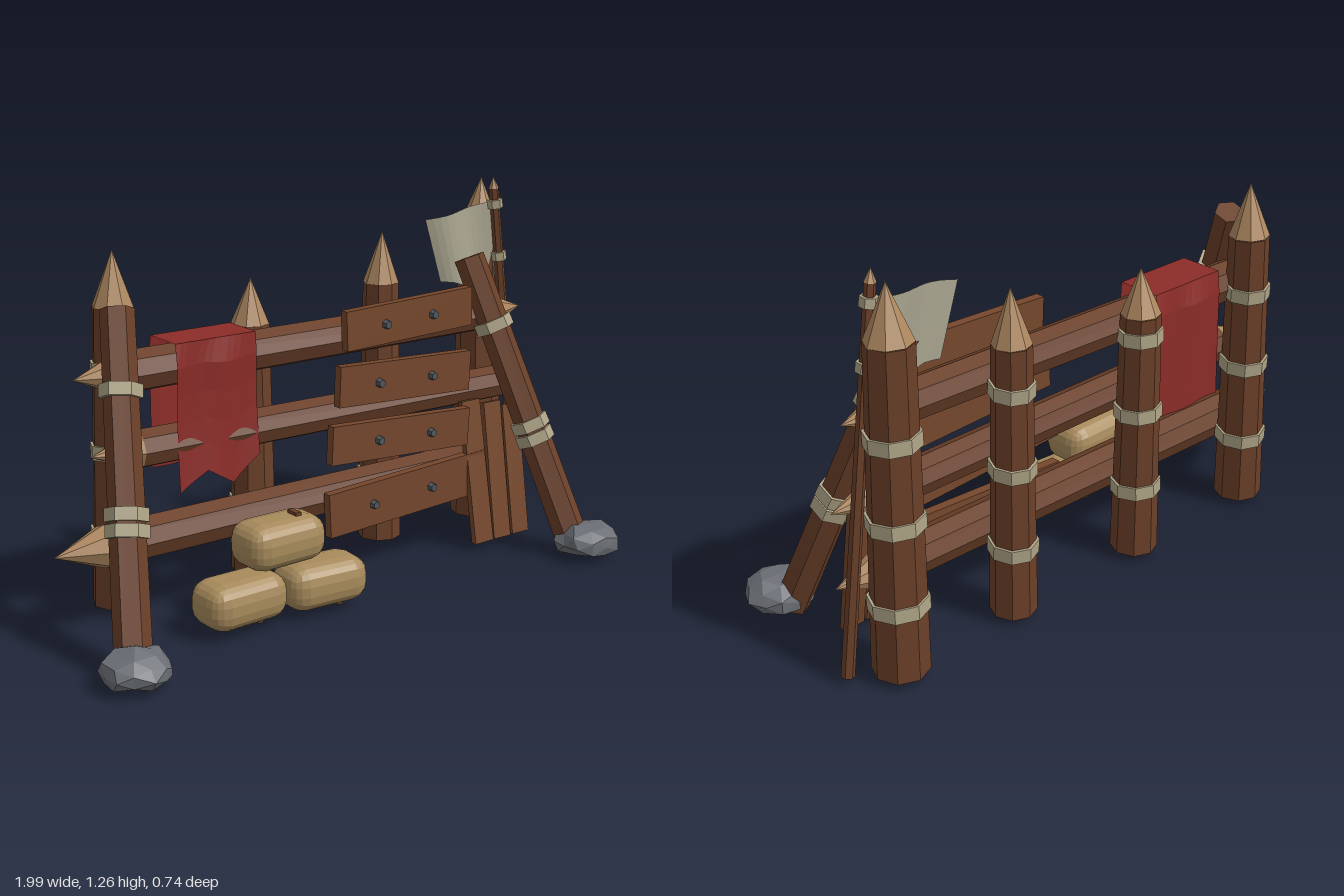
import * as THREE from 'three';
import { RoundedBoxGeometry } from 'three/addons/geometries/RoundedBoxGeometry.js';

const mat = (color, side = THREE.FrontSide) => new THREE.MeshStandardMaterial({ color, flatShading: true, side });
const WOOD = mat(0x6b4029), PLANK = mat(0x75472c), TIP = mat(0xae8860), ROPE = mat(0xb0a588);
const STONE = mat(0x6b6f75), IRON = mat(0x50565c), SACK = mat(0xa88b5c);
const RED = mat(0x8c2c28, THREE.DoubleSide), CANVAS = mat(0xaaa590, THREE.DoubleSide);
const V = (x, y, z) => new THREE.Vector3(x, y, z);
const UP = V(0, 1, 0);

function add(parent, name, geometry, material) {
  const mesh = new THREE.Mesh(geometry, material);
  mesh.name = name;
  parent.add(mesh);
  return mesh;
}

// Tapered pole from a to b
function beam(parent, name, a, b, ra, rb, sides, material) {
  const dir = b.clone().sub(a);
  const mesh = add(parent, name, new THREE.CylinderGeometry(rb, ra, dir.length(), sides), material);
  mesh.position.copy(a).add(b).multiplyScalar(0.5);
  mesh.quaternion.setFromUnitVectors(UP, dir.normalize());
  return mesh;
}

// Rope wrap at fraction t of the pole from a to b
function wrap(parent, a, b, t, r, height, sides) {
  const mid = a.clone().lerp(b, t);
  const half = b.clone().sub(a).setLength(height / 2);
  return beam(parent, 'ropeWrap', mid.clone().sub(half), mid.clone().add(half), r, r, sides, ROPE);
}

// Sheet through v-rows: at(u, v) returns the position
function sheet(parent, name, nu, nv, at, material) {
  const geometry = new THREE.PlaneGeometry(1, 1, nu, nv);
  const p = geometry.attributes.position;
  for (let i = 0; i < p.count; i++) {
    const q = at(p.getX(i) + 0.5, 0.5 - p.getY(i));
    p.setXYZ(i, q.x, q.y, q.z);
  }
  geometry.computeVertexNormals();
  return add(parent, name, geometry, material);
}

// Piecewise linear lookup over evenly spaced values
function lookup(values, u) {
  const f = u * (values.length - 1), i = Math.min(Math.floor(f), values.length - 2);
  return values[i] + (values[i + 1] - values[i]) * (f - i);
}

// Upright stakes with sharpened tops and rope wraps
function addPosts(root) {
  const posts = [ // foot x, top x, shoulder y, tip y, radius
    [-0.645, -0.62, 0.98, 1.155, 0.08],
    [-0.13, -0.125, 0.86, 1.01, 0.077],
    [0.398, 0.405, 0.93, 1.105, 0.074],
    [0.84, 0.84, 1.08, 1.25, 0.088]];
  posts.forEach(([x0, x1, shoulder, tip, r], i) => {
    const g = new THREE.Group();
    g.name = 'post';
    const a = V(x0, 0.03, -0.275), b = V(x1, shoulder, -0.285);
    beam(g, 'postShaft', a, b, r, r * 0.82, 8, WOOD);
    beam(g, 'postTip', b, V(x1, tip, -0.28), r * 0.82, 0, 8, TIP);
    for (const y of [0.26, 0.53, 0.79]) {
      const t = (y - 0.03) / (shoulder - 0.03);
      wrap(g, a, b, t, r * (1 - 0.18 * t) + 0.008, 0.045, 8).rotateX(0.05 * (i % 2 ? 1 : -1));
    }
    root.add(g);
  });
}

// Horizontal rails sharpened at both ends
function addRails(root) {
  const rails = [ // left tip, right tip, radius
    [V(-0.81, 0.795, -0.2), V(0.92, 0.805, -0.155), 0.068],
    [V(-0.78, 0.56, -0.165), V(0.97, 0.545, -0.155), 0.062],
    [V(-0.92, 0.275, -0.155), V(0.96, 0.285, -0.14), 0.07]];
  for (const [a, b, r] of rails) {
    const g = new THREE.Group();
    g.name = 'rail';
    const p = a.clone().lerp(b, 0.09), q = a.clone().lerp(b, 0.91);
    beam(g, 'railShaft', p, q, r, r * 0.94, 8, WOOD);
    beam(g, 'railTip', p, a, r, 0, 8, TIP);
    beam(g, 'railTip', q, b, r * 0.94, 0, 8, TIP);
    root.add(g);
  }
}

// Slanted braces with a boulder on each foot
function addBraces(root) {
  for (const s of [-1, 1]) {
    const g = new THREE.Group();
    g.name = 'brace';
    const a = V(s * 0.87, 0.025, 0.22), b = V(s * 0.68, 1.005, -0.15);
    beam(g, 'braceShaft', a, b, 0.057, 0.052, 6, WOOD);
    for (const t of [0.385, 0.43, 0.77]) wrap(g, a, b, t, 0.066, 0.04, 6).rotateZ(0.06 * s);
    const rock = new THREE.IcosahedronGeometry(1, 1), p = rock.attributes.position;
    for (let i = 0; i < p.count; i++) {
      const x = p.getX(i), y = p.getY(i), z = p.getZ(i);
      const k = 0.95 + 0.13 * Math.sin(5 * x + s * 2) * Math.cos(4 * z + 3 * y);
      p.setXYZ(i, x * k * 0.115, Math.max(y * k * 0.068, -0.03), z * k * 0.112);
    }
    rock.computeVertexNormals();
    add(g, 'footStone', rock, STONE).position.set(s * 0.885, 0.06, 0.258);
    root.add(g);
  }
}

// Bolted boards on the front
function addBoards(root) {
  const boards = [ // x, y, width, height, tilt, bolt x positions
    [0.345, 0.855, 0.52, 0.13, 0.035, 0.24, 0.435],
    [0.33, 0.655, 0.545, 0.135, -0.045, 0.215, 0.435],
    [0.315, 0.46, 0.575, 0.13, -0.055, 0.215, 0.435],
    [0.35, 0.255, 0.665, 0.15, 0.05, 0.195, 0.44]];
  for (const [x, y, w, h, tilt, ...bolts] of boards) {
    const g = new THREE.Group();
    g.name = 'board';
    g.position.set(x, y, -0.06);
    g.rotation.z = tilt;
    add(g, 'boardPlank', new THREE.BoxGeometry(w, h, 0.032), PLANK);
    for (const bx of bolts) beam(g, 'bolt', V(bx - x, 0, 0.01), V(bx - x, 0, 0.034), 0.018, 0.013, 6, IRON);
    root.add(g);
  }
  // Loose planks leaning on the rails
  [[0.64, 0.08, 0.01], [0.73, 0.075, -0.015], [0.815, 0.075, -0.01]].forEach(([x, w, roll], i) => {
    const m = add(root, 'leaningPlank', new THREE.BoxGeometry(w, 0.5 - 0.02 * i, 0.022), PLANK);
    m.position.set(x, 0.275 - 0.01 * i, -0.045);
    m.rotation.set(-0.17, 0, roll);
  });
}

// Red cloth draped over the top rail, with a cut front hem
function addBanner(root) {
  const hem = [0.41, 0.47, 0.41, 0.49];
  sheet(root, 'banner', 12, 12, (u, v) => {
    const x = -0.51 + 0.29 * u;
    const ripple = 0.006 * Math.sin(u * 9 + v * 4);
    if (v < 0.4) return V(x, 0.45 + (0.43 * v) / 0.4, -0.272 + ripple);
    if (v < 0.6) return V(x, 0.88, -0.272 + (0.177 * (v - 0.4)) / 0.2);
    const k = (v - 0.6) / 0.4;
    return V(x, 0.88 + (lookup(hem, u) - 0.88) * k, -0.095 - 0.012 * Math.sin(k * Math.PI) + ripple);
  }, RED);
}

// Thin pole with a ragged pale flag
function addFlag(root) {
  const a = V(0.98, 0.03, -0.205), b = V(0.83, 1.22, -0.203);
  beam(root, 'flagPole', a, b, 0.021, 0.017, 6, WOOD);
  beam(root, 'flagPoleTip', b, V(0.826, 1.262, -0.203), 0.018, 0, 6, TIP);
  for (const t of [0.8, 0.955]) wrap(root, a, b, t, 0.028, 0.03, 6);
  const hem = [0.92, 0.915, 0.9, 0.955, 0.89, 0.93, 0.91];
  sheet(root, 'flag', 12, 5, (u, v) => {
    const left = 0.53 + 0.07 * v, right = 0.835 + 0.03 * v;
    const top = 1.14 + 0.035 * u;
    return V(left + (right - left) * u, top + (lookup(hem, u) - top) * v,
      -0.205 + 0.025 * Math.sin(u * 6) * (1 - u * 0.6));
  }, CANVAS);
}

// Stacked sacks with small ties
function addSacks(root) {
  const sacks = [[-0.42, 0.107, 0.085, 0.03], [-0.128, 0.105, 0.1, -0.08], [-0.265, 0.26, 0.07, 0.02]];
  sacks.forEach(([x, y, z, turn], i) => {
    const g = new THREE.Group();
    g.name = 'sack';
    const body = new RoundedBoxGeometry(0.29, 0.15, 0.18, 2, 0.058), p = body.attributes.position;
    for (let j = 0; j < p.count; j++) {
      const px = p.getX(j), k = 1.02 - 5 * px * px * (px > 0 ? 1.2 : 0.8);
      p.setXYZ(j, px, p.getY(j) * k, p.getZ(j) * k);
    }
    body.computeVertexNormals();
    add(g, 'sackBody', body, SACK);
    add(g, 'sackTie', new THREE.BoxGeometry(0.02, 0.02, 0.045), WOOD).position.set(0.055, i === 2 ? 0.074 : -0.076, 0.01);
    g.position.set(x, y, z);
    g.rotation.y = turn;
    root.add(g);
  });
}

export function createModel() {
  const root = new THREE.Group();
  root.name = 'barricade';
  for (const part of [addPosts, addRails, addBraces, addBoards, addBanner, addFlag, addSacks]) part(root);
  return root;
}
